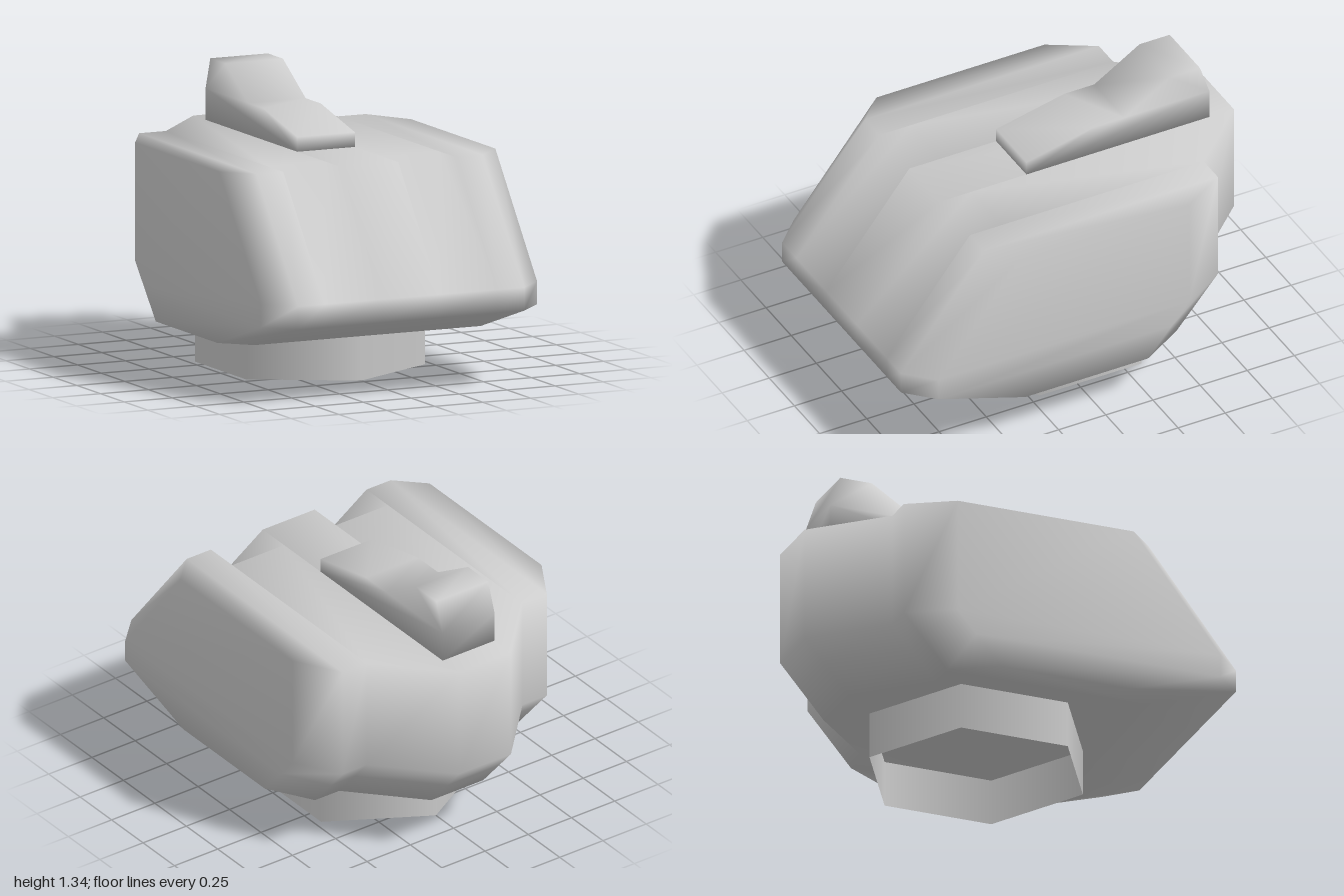
import * as THREE from 'three';
import { mergeVertices } from 'three/addons/utils/BufferGeometryUtils.js';

// weld shared corners so the shading runs smoothly over them
function smooth(geometry) {
  geometry.deleteAttribute('normal');
  geometry.deleteAttribute('uv');
  const welded = mergeVertices(geometry, 1e-4);
  welded.computeVertexNormals();
  return welded;
}

// Hull: horizontal outlines stacked in y, capped with lengthwise strips
function hullGeometry() {
  // [x, setback from the front, setback from the back, in a groove]
  const half = [
    [0.15, 0, 0, 0], [0.15, 0, 0, 1], [0.45, 0, 0.32, 1],
    [0.45, 0, 0.32, 0], [0.59, 0, 0.32, 0], [0.72, 0.13, 0.54, 0],
  ];
  const stations = [...half.map(([x, ...rest]) => [-x, ...rest]).reverse(), ...half];
  // [y, front z, back z, groove depth]
  const levels = [
    [0.225, 0.54, -0.78, 0], [0.37, 1, -0.905, 0],
    [0.48, 1, -1, 0], [1.04, 0.56, -1, 0.17],
  ];
  const n = stations.length, ring = 2 * n;
  const positions = [], index = [];
  for (const [y, front, back, depth] of levels) {
    for (const [x, f, , groove] of stations) positions.push(x, y, front - f - groove * depth);
    for (const [x, , b] of [...stations].reverse()) positions.push(x, y, back + b);
  }
  const quad = (a, b, c, d) => index.push(a, b, c, a, c, d);
  for (let l = 0; l < levels.length - 1; l++) {
    for (let i = 0; i < ring; i++) {
      const j = (i + 1) % ring, low = l * ring, high = low + ring;
      quad(low + i, low + j, high + j, high + i);
    }
  }
  const top = (levels.length - 1) * ring;
  for (let i = 0; i < n - 1; i++) {
    const backA = ring - 1 - i, backB = ring - 2 - i;
    quad(top + i, top + i + 1, top + backB, top + backA);
    quad(backA, backB, i + 1, i);
  }
  const geometry = new THREE.BufferGeometry();
  geometry.setAttribute('position', new THREE.Float32BufferAttribute(positions, 3));
  geometry.setIndex(index);
  return smooth(geometry);
}

// Fin: side profile [z, y] extruded across x
function finGeometry() {
  const profile = [
    [0.1, 1.04], [-0.87, 1.04], [-0.87, 1.19], [-0.82, 1.34],
    [-0.66, 1.34], [-0.42, 1.19], [-0.26, 1.19], [0.1, 1.11],
  ];
  const shape = new THREE.Shape(profile.map(([z, y]) => new THREE.Vector2(-z, y)));
  const geometry = new THREE.ExtrudeGeometry(shape, { depth: 0.3, bevelEnabled: false });
  geometry.translate(0, 0, -0.15).rotateY(Math.PI / 2);
  return smooth(geometry);
}

export function createModel() {
  const group = new THREE.Group();
  const material = new THREE.MeshStandardMaterial({ color: 0xcccccc, side: THREE.DoubleSide });
  const add = (name, geometry) => {
    const mesh = new THREE.Mesh(geometry, material);
    mesh.name = name;
    group.add(mesh);
    return mesh;
  };
  add('hull', hullGeometry());
  add('topFin', finGeometry());
  // open six-sided collar under the hull
  const collar = new THREE.CylinderGeometry(0.54, 0.54, 0.225, 6, 1, true);
  add('baseCollar', collar).position.set(0, 0.1125, -0.07);
  return group;
}
